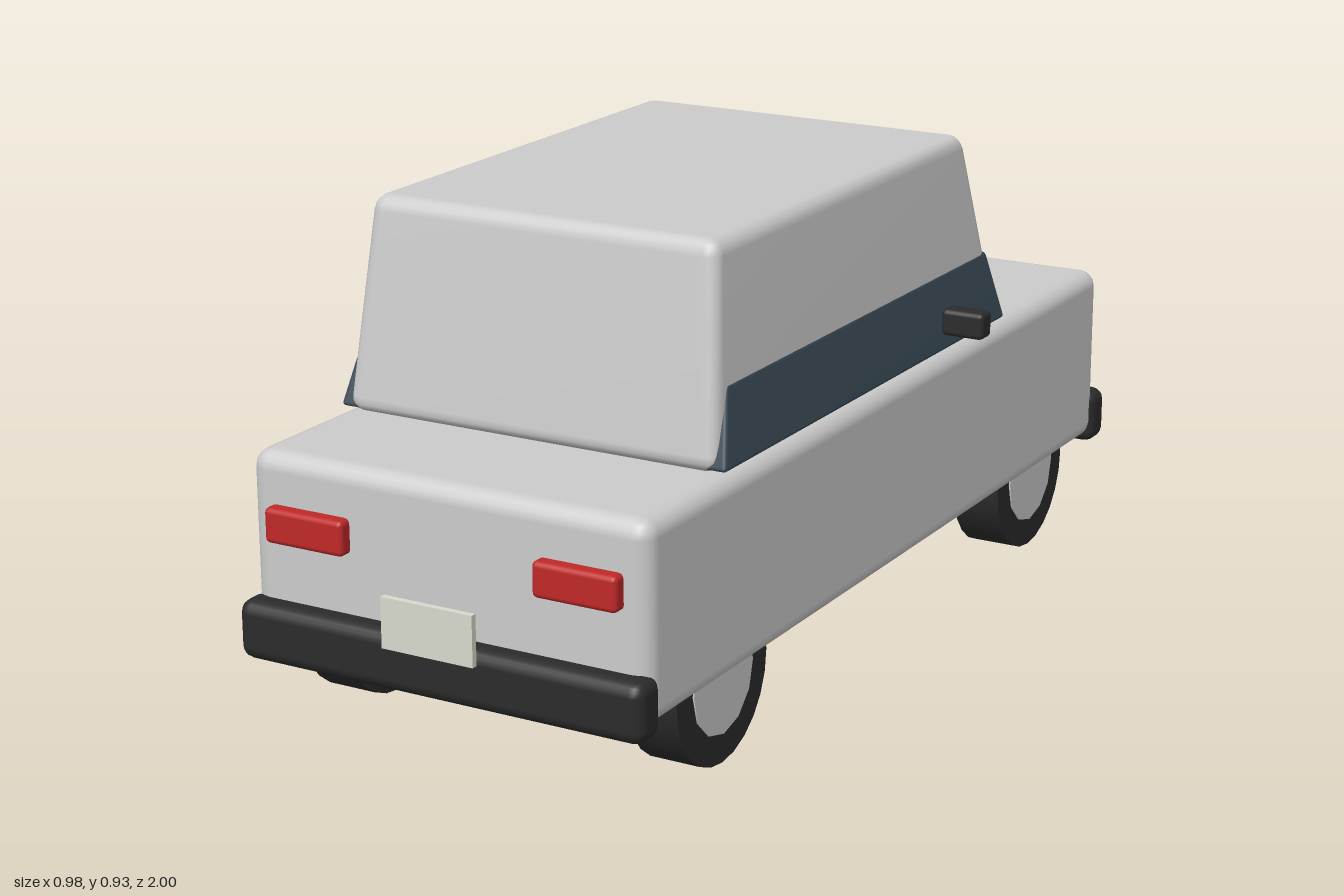
import * as THREE from 'three';
import { RoundedBoxGeometry } from 'three/addons/geometries/RoundedBoxGeometry.js';
import { mergeVertices } from 'three/addons/utils/BufferGeometryUtils.js';

const material = (color) => new THREE.MeshStandardMaterial({ color });

const paint = material(0xcccccc);
const rubber = material(0x2b2b2b);
const glass = material(0x3a4a55);
const red = material(0xc02828);
const lamp = material(0xe8e8e0);
const plateWhite = material(0xd8dacd);

export function createModel() {
  const car = new THREE.Group();
  car.name = 'car';

  const add = (name, geometry, mat, x = 0, y = 0, z = 0) => {
    const mesh = new THREE.Mesh(geometry, mat);
    mesh.name = name;
    mesh.position.set(x, y, z);
    car.add(mesh);
    return mesh;
  };

  // Rounded box given by its size and centre
  const block = (name, w, h, d, r, mat, x, y, z) =>
    add(name, new RoundedBoxGeometry(w, h, d, 2, r), mat, x, y, z);

  // Rounded box whose half width and z range change from bottom to top
  const taperedBlock = (name, y0, y1, bottom, top, r, mat) => {
    const h = y1 - y0;
    let g = new RoundedBoxGeometry(2, h, 2, 2, r);
    // Built at full size first, so the rounding keeps its radius
    const w = 2 * bottom.x, d = bottom.back - bottom.front;
    g = new RoundedBoxGeometry(w, h, d, 2, r);
    g.deleteAttribute('uv');
    g.deleteAttribute('normal');
    g = mergeVertices(g, 1e-5);
    const p = g.attributes.position;
    for (let i = 0; i < p.count; i++) {
      const y = p.getY(i);
      const t = y / h + 0.5;
      const front = THREE.MathUtils.lerp(bottom.front, top.front, t);
      const back = THREE.MathUtils.lerp(bottom.back, top.back, t);
      const halfX = THREE.MathUtils.lerp(bottom.x, top.x, t);
      const u = p.getZ(i) / d + 0.5;
      p.setXYZ(i, (p.getX(i) / bottom.x) * halfX, y0 + t * h, front + u * (back - front));
    }
    g.computeVertexNormals();
    add(name, g, mat);
  };

  // Body and cabin
  block('body', 0.82, 0.37, 1.89, 0.035, paint, 0, 0.345, 0);
  taperedBlock('cabin', 0.53, 0.93,
    { x: 0.389, front: -0.48, back: 0.683 },
    { x: 0.357, front: -0.36, back: 0.625 }, 0.03, paint);

  // Window band, showing only where it stands out of the cabin sides
  taperedBlock('windowBand', 0.537, 0.68,
    { x: 0.404, front: -0.472, back: 0.675 },
    { x: 0.378, front: -0.43, back: 0.625 }, 0.008, glass);

  // Bumpers, number plates and lights at both ends
  for (const s of [1, -1]) {
    const end = s > 0 ? 'tail' : 'nose';
    block(end + 'Bumper', 0.836, 0.112, 0.075, 0.025, rubber, 0, 0.202, s * 0.95);
    add(end + 'Plate', new THREE.BoxGeometry(0.188, 0.095, 0.012), plateWhite,
      0, s > 0 ? 0.281 : 0.235, s * 0.994);
    for (const side of [1, -1]) {
      const sideName = side > 0 ? 'Left' : 'Right';
      if (s > 0) block('tailLight' + sideName, 0.167, 0.066, 0.05, 0.01, red, side * 0.278, 0.403, 0.946);
      else block('headLight' + sideName, 0.18, 0.072, 0.05, 0.01, lamp, side * 0.27, 0.404, -0.946);
    }
  }

  // Wheels with a hub slightly wider than the tyre, and side mirrors
  const tyre = new THREE.CylinderGeometry(0.16, 0.16, 0.1, 24).rotateZ(Math.PI / 2);
  const hub = new THREE.CylinderGeometry(0.105, 0.105, 0.106, 12).rotateZ(Math.PI / 2);
  for (const side of [1, -1]) {
    const sideName = side > 0 ? 'Left' : 'Right';
    for (const [end, z] of [['tail', 0.67], ['nose', -0.64]]) {
      add(end + 'Tyre' + sideName, tyre, rubber, side * 0.345, 0.16, z);
      add(end + 'Hub' + sideName, hub, paint, side * 0.345, 0.16, z);
    }
    block('mirror' + sideName, 0.088, 0.053, 0.045, 0.01, rubber, side * 0.447, 0.599, -0.195);
  }

  return car;
}
